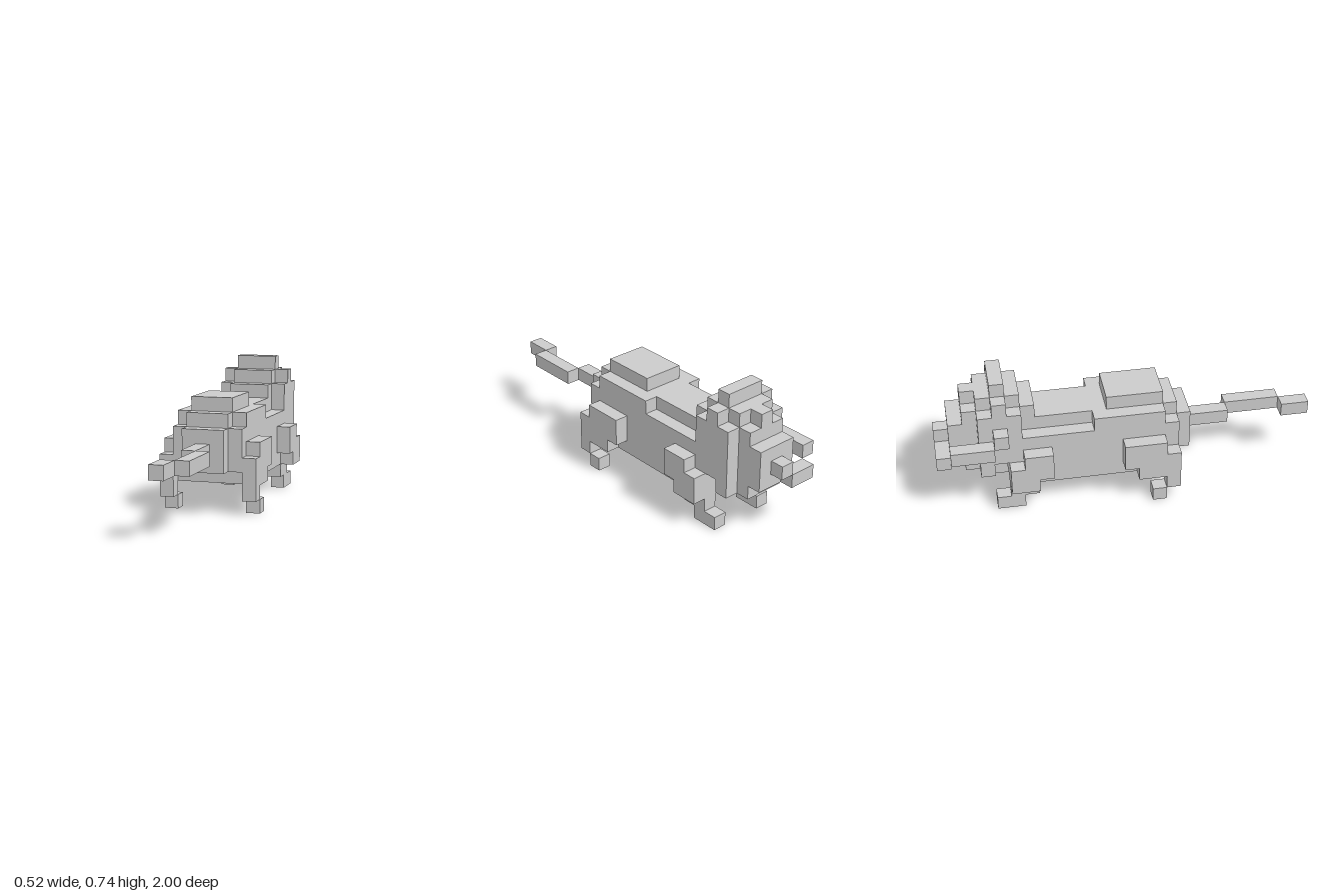
import * as THREE from 'three';

const U = 2 / 27; // size of one block
const material = new THREE.MeshStandardMaterial({ color: 0xcccccc, flatShading: true });

// Each box is [x0, x1, y0, y1, z0, z1] in blocks; x runs 0..7, y 0..10, z 0..27
function part(name, boxes) {
  const group = new THREE.Group();
  group.name = name;
  for (const [x0, x1, y0, y1, z0, z1] of boxes) {
    const geometry = new THREE.BoxGeometry((x1 - x0) * U, (y1 - y0) * U, (z1 - z0) * U);
    const mesh = new THREE.Mesh(geometry, material);
    mesh.name = name + 'Block';
    mesh.position.set(((x0 + x1) / 2 - 3.5) * U, ((y0 + y1) / 2) * U, ((z0 + z1) / 2 - 13.5) * U);
    group.add(mesh);
  }
  return group;
}

const mirrorBoxes = (boxes) => boxes.map(([x0, x1, ...rest]) => [7 - x1, 7 - x0, ...rest]);

export function createModel() {
  const model = new THREE.Group();
  model.name = 'blockAnimal';

  model.add(part('body', [
    [1, 6, 2, 6, 5, 16],
    [2, 5, 6, 7, 6, 11],   // narrow neck ridge
    [1, 6, 6, 7, 11, 16],  // broad back
    [1, 6, 3, 6, 16, 17],
    [2, 5, 6, 7, 16, 17],
  ]));
  model.add(part('backHump', [[2, 5, 7, 8, 12, 16]]));
  model.add(part('rump', [[2, 5, 3, 6, 17, 18]]));

  model.add(part('head', [
    [2, 5, 4, 7, 1, 2],    // face
    [2, 5, 3, 8, 2, 3],
    [3, 4, 8, 9, 2, 3],    // forehead
    [1, 6, 3, 8, 3, 4],
    [1, 6, 4, 8, 4, 5],
    [1, 6, 6, 8, 5, 6],
    [2, 5, 8, 9, 3, 6],
    [2, 5, 7, 8, 6, 7],    // nape
  ]));
  model.add(part('ears', [[1, 2, 8, 9, 4, 5], [5, 6, 8, 9, 4, 5]]));
  model.add(part('crown', [[2, 5, 9, 10, 4, 5]]));

  // Trunk curling around one side of the head
  model.add(part('trunk', [
    [3, 4, 5, 6, 0, 1],
    [1, 3, 4, 5, 0, 1],
    [0, 1, 5, 6, 1, 4],
    [0, 1, 6, 7, 4, 5],
  ]));

  // Legs, mirrored in pairs
  const legs = {
    headEndLeg: [
      [6, 7, 3, 5, 6, 8],
      [6, 7, 2, 4, 5, 7],
      [5, 6, 1, 2, 5, 7],
      [5, 6, 0, 1, 4, 6],
    ],
    tailEndLeg: [
      [6, 7, 3, 5, 13, 16],
      [6, 7, 2, 3, 14, 16],
      [6, 7, 1, 4, 16, 17],
      [6, 7, 0, 1, 15, 16],
    ],
  };
  for (const [name, boxes] of Object.entries(legs)) {
    model.add(part(name + 'Left', boxes));
    model.add(part(name + 'Right', mirrorBoxes(boxes)));
  }

  model.add(part('tail', [
    [3, 4, 4, 5, 18, 21],
    [4, 5, 4, 5, 21, 25],
    [3, 4, 4, 5, 25, 27],
  ]));

  return model;
}
